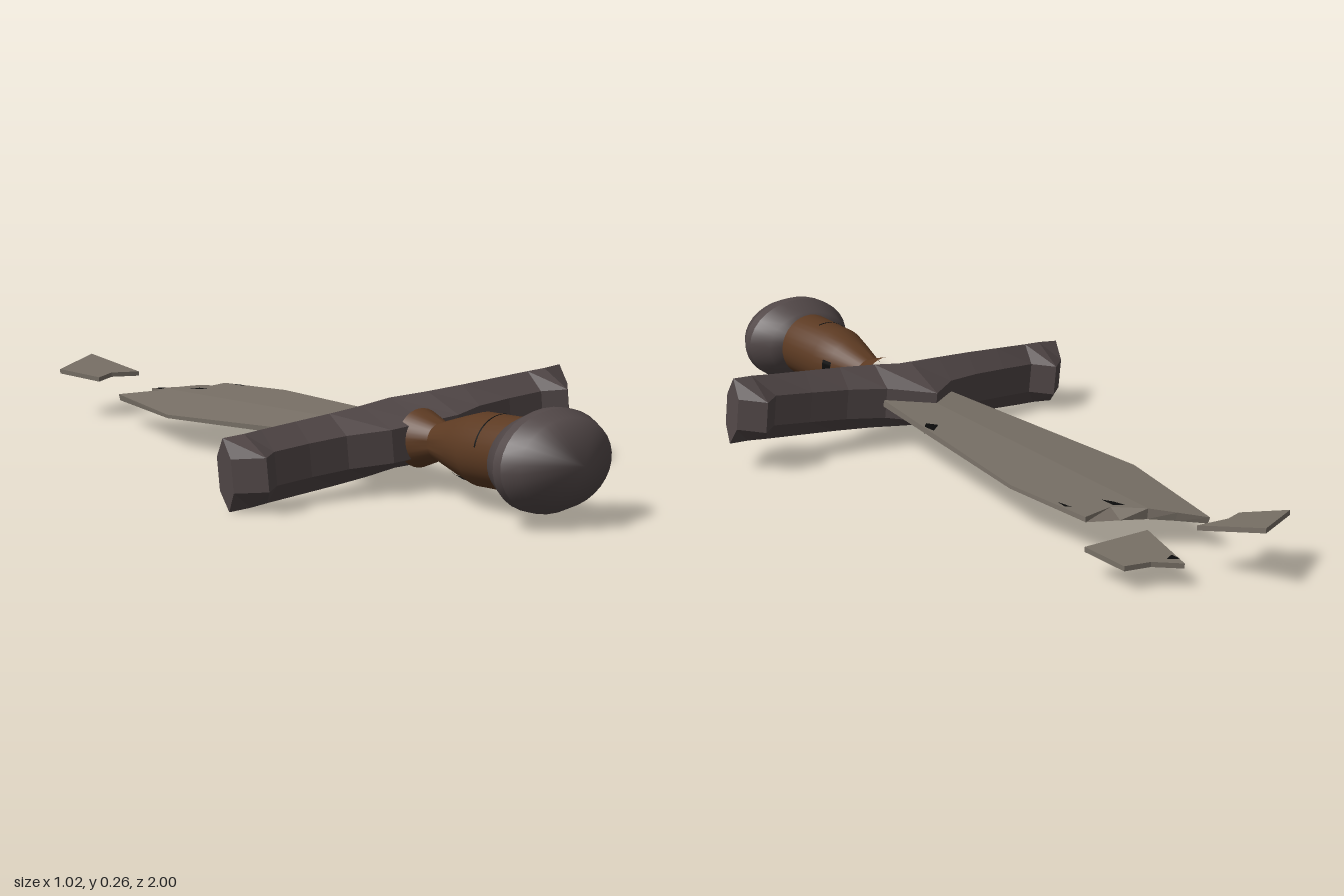
import * as THREE from 'three';
import { toCreasedNormals } from 'three/addons/utils/BufferGeometryUtils.js';

const std = (name, color) => Object.assign(new THREE.MeshStandardMaterial({ color }), { name });

// Joins equal-length closed rings of points into a capped solid.
function loft(rings) {
  const pos = [], n = rings[0].length;
  const quad = (a, b, c, d) => pos.push(...a, ...b, ...c, ...a, ...c, ...d);
  for (let r = 0; r < rings.length - 1; r++)
    for (let i = 0; i < n; i++) {
      const j = (i + 1) % n;
      quad(rings[r][i], rings[r][j], rings[r + 1][j], rings[r + 1][i]);
    }
  const first = rings[0], last = rings[rings.length - 1];
  for (let i = 0; i < n / 2 - 1; i++) {
    quad(last[i], last[i + 1], last[n - 2 - i], last[n - 1 - i]);
    quad(first[n - 1 - i], first[n - 2 - i], first[i + 1], first[i]);
  }
  const g = new THREE.BufferGeometry();
  g.setAttribute('position', new THREE.Float32BufferAttribute(pos, 3));
  g.computeVertexNormals();
  return g;
}

// Lathe around the z axis from [radius, z] points.
function turned(points, start = 0, length = Math.PI * 2) {
  const g = new THREE.LatheGeometry(points.map(p => new THREE.Vector2(...p)), 32, start, length);
  return toCreasedNormals(g.rotateX(Math.PI / 2), 0.4);
}

export function createModel() {
  const iron = std('dark iron', 0x514747);
  const steel = std('dull steel', 0x787066);
  const wood = std('brown grip', 0x5c3a22);
  const black = std('black stain', 0x0b0b0b);
  iron.flatShading = false;
  black.side = THREE.DoubleSide;

  const model = new THREE.Group();
  const sword = new THREE.Group();
  sword.name = 'sword';
  sword.position.y = 0.111;
  sword.rotation.set(-0.04, 0, 0.073);
  model.add(sword);

  const add = (parent, name, geometry, material) => {
    const mesh = new THREE.Mesh(geometry, material);
    mesh.name = name;
    parent.add(mesh);
    return mesh;
  };

  // Oval pommel with a shallow conical cap
  add(sword, 'pommel', turned([[0, 0.82], [0.8, 0.82], [1, 0.875], [1, 0.9], [0.86, 0.94], [0, 1]]), iron)
    .scale.set(0.155, 0.115, 1);

  // Waisted grip
  add(sword, 'grip', turned([[0.07, 0.44], [0.044, 0.515], [0.07, 0.61], [0.085, 0.67], [0.085, 0.83]]), wood);
  add(sword, 'gripStain', turned([[0.0705, 0.6], [0.0775, 0.63]], -0.7, 2.5), black);
  add(sword, 'gripScratch', turned([[0.086, 0.728], [0.086, 0.733]], 2.8, 1.6), black);

  // Crossguard: hexagonal sections [x, back z, ridge z, front z], mirrored
  const half = [
    [0.505, 0.34, 0.37, 0.395], [0.45, 0.29, 0.375, 0.455], [0.4, 0.335, 0.37, 0.415],
    [0.3, 0.325, 0.365, 0.412], [0.2, 0.312, 0.36, 0.42], [0.1, 0.285, 0.35, 0.46],
  ];
  const sections = [
    ...half.map(([x, ...z]) => [-x, ...z]), [0, 0.205, 0.33, 0.46], ...half.slice().reverse(),
  ];
  add(sword, 'crossguard', loft(sections.map(([x, b, m, f]) => [
    [x, 0.039, b], [x, 0.085, m], [x, 0.039, f], [x, -0.039, f], [x, -0.085, m], [x, -0.039, b],
  ])), iron);

  // Blade: ridged sections of [x, upper z, lower z], ending in a jagged break
  const thick = x => 0.013 - 0.045 * Math.abs(x);
  const row = (w, z) => [-w, -w / 2, 0, w / 2, w].map(x => [x, z, z]);
  const rows = [
    row(0.105, 0.3),
    row(0.187, -0.365),
    [[-0.105, -0.735, -0.73], [-0.05, -0.685, -0.68], [0, -0.64, -0.64], [0.07, -0.59, -0.628], [0.16, -0.612, -0.615]],
  ];
  add(sword, 'blade', loft(rows.map(r => [
    ...r.map(([x, z]) => [x, thick(x), z]),
    ...r.map(([x, , z]) => [x, -thick(x), z]).reverse(),
  ])), steel);

  // Dark nicks lying on the blade faces, as [x, z] corners
  const nick = (side, corners) => {
    const pts = corners.map(([x, z]) => new THREE.Vector3(x, side * (thick(x) + 0.0015), z));
    const pos = [];
    for (let i = 1; i < pts.length - 1; i++)
      for (const p of [pts[0], pts[i], pts[i + 1]]) pos.push(p.x, p.y, p.z);
    const g = new THREE.BufferGeometry();
    g.setAttribute('position', new THREE.Float32BufferAttribute(pos, 3));
    g.computeVertexNormals();
    add(sword, 'bladeNick', g, black);
  };
  for (const side of [1, -1]) {
    nick(side, [[0.035, -0.6], [0.06, -0.585], [0.062, -0.545], [0.045, -0.57]]);
    nick(side, [[0.095, 0.06], [0.13, 0.03], [0.133, 0.065], [0.115, 0.085]]);
    nick(side, [[0.15, -0.55], [0.163, -0.54], [0.16, -0.51]]);
  }
  nick(-1, [[0.06, 0.24], [0.1, 0.2], [0.1, 0.27]]);

  // Broken-off pieces: outlines of [x, z] on a sloping plane
  const shard = (name, outline, height) => {
    const shape = new THREE.Shape(outline.map(([x, z]) => new THREE.Vector2(x, -z)));
    const g = new THREE.ExtrudeGeometry(shape, { depth: 0.012, bevelEnabled: false }).rotateX(-Math.PI / 2);
    const p = g.attributes.position;
    for (let i = 0; i < p.count; i++) p.setY(i, p.getY(i) + height(p.getX(i), p.getZ(i)));
    g.computeVertexNormals();
    add(model, name, g, steel);
  };
  shard('tipShard', [[-0.185, -0.91], [-0.115, -0.82], [-0.06, -0.845], [0.02, -0.832], [-0.03, -1]],
    (x, z) => 0.106 - 0.2 * (z + 0.82));
  shard('sideShard', [[0.05, -0.7], [0.23, -0.7], [0.215, -0.82], [0.15, -0.832], [0.09, -0.875]],
    (x, z) => 0.064 + 0.09 * (z + 0.7));
  add(model, 'shardNick', new THREE.CircleGeometry(0.018, 3).rotateX(-Math.PI / 2), black)
    .position.set(0.095, 0.0645, -0.84);

  return model;
}
